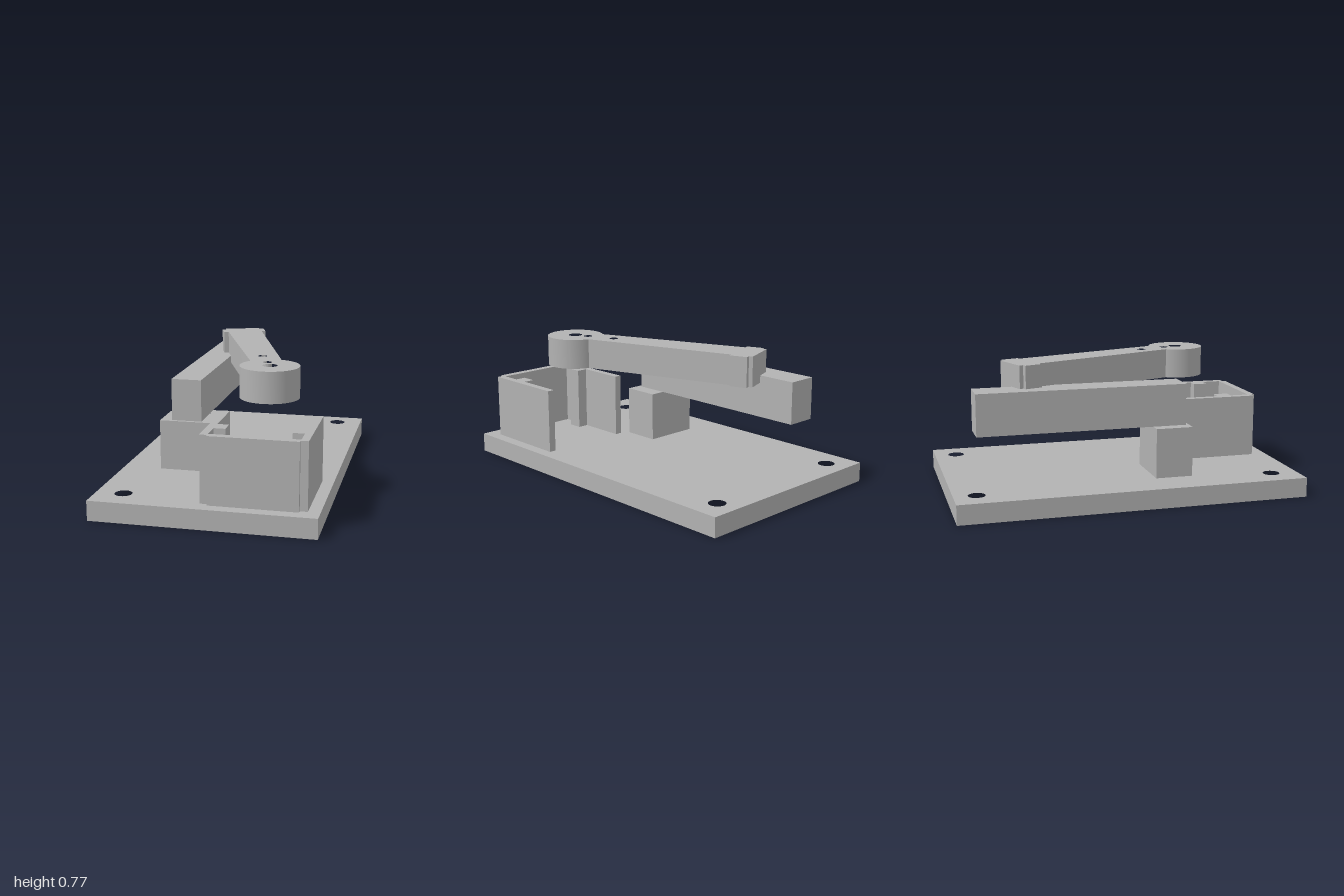
import * as THREE from 'three';
import { toCreasedNormals } from 'three/addons/utils/BufferGeometryUtils.js';

const grey = new THREE.MeshStandardMaterial({ color: 0xb2b2b2 });
grey.name = 'plain grey';

// Plans are drawn as [x, z] and extruded upward from y0 to y1.
function outline(points) {
  return new THREE.Shape(points.map(([x, z]) => new THREE.Vector2(x, -z)));
}

function drill(shape, x, z, radius) {
  shape.holes.push(new THREE.Path().absarc(x, -z, radius, 0, Math.PI * 2, true));
}

function raise(name, shape, y0, y1) {
  const geometry = new THREE.ExtrudeGeometry(shape, { depth: y1 - y0, bevelEnabled: false, curveSegments: 40 });
  geometry.rotateX(-Math.PI / 2).translate(0, y0, 0);
  const mesh = new THREE.Mesh(toCreasedNormals(geometry, 0.5), grey);
  mesh.name = name;
  return mesh;
}

function block(name, [x0, x1], [y0, y1], [z0, z1]) {
  const mesh = new THREE.Mesh(new THREE.BoxGeometry(x1 - x0, y1 - y0, z1 - z0), grey);
  mesh.position.set((x0 + x1) / 2, (y0 + y1) / 2, (z0 + z1) / 2);
  mesh.name = name;
  return mesh;
}

export function createModel() {
  const model = new THREE.Group();
  model.name = 'leverMechanism';

  // Base plate with four screw holes
  const plate = outline([[-0.613, -1], [0.613, -1], [0.613, 1], [-0.613, 1]]);
  for (const x of [-0.461, 0.461]) for (const z of [-0.872, 0.845]) drill(plate, x, z, 0.048);
  model.add(raise('basePlate', plate, 0, 0.112));

  // Pedestal and the long rail resting on it
  model.add(block('pedestal', [-0.396, -0.069], [0.112, 0.4], [0.165, 0.381]));
  model.add(block('rail', [-0.33, -0.157], [0.4, 0.64], [-0.847, 0.361]));

  // U-shaped motor bracket with inner tabs, mirrored about its middle
  const middle = 0.263;
  const half = [
    [0.242, 0.933], [0.242, 0.912], [0.284, 0.912], [0.284, 0.407], [0.242, 0.407],
    [0.242, 0.692], [0.178, 0.692], [0.178, 0.778], [0.242, 0.778], [0.242, 0.89],
  ];
  const right = half.map(([dx, z]) => [middle + dx, z]);
  const left = half.map(([dx, z]) => [middle - dx, z]).reverse();
  model.add(raise('motorBracket', outline([...right, ...left]), 0.112, 0.485));

  // Swinging arm: notched head, tapered bar and round hub in one outline
  const hub = [0.263, 0.492];
  const arm = outline([
    [0.132, 0.389], [-0.196, -0.468], [-0.222, -0.458], [-0.257, -0.555], [-0.233, -0.564],
    [-0.242, -0.586], [-0.042, -0.659], [-0.033, -0.638], [-0.007, -0.647],
    [0.026, -0.55], [0.004, -0.542], [0.296, 0.33],
  ]);
  arm.absarc(hub[0], -hub[1], 0.164, 1.376, 2.479, true);
  drill(arm, hub[0], hub[1], 0.04);
  drill(arm, 0.233, 0.409, 0.025);
  drill(arm, 0.172, 0.245, 0.025);
  model.add(raise('swingArm', arm, 0.598, 0.772));

  return model;
}
